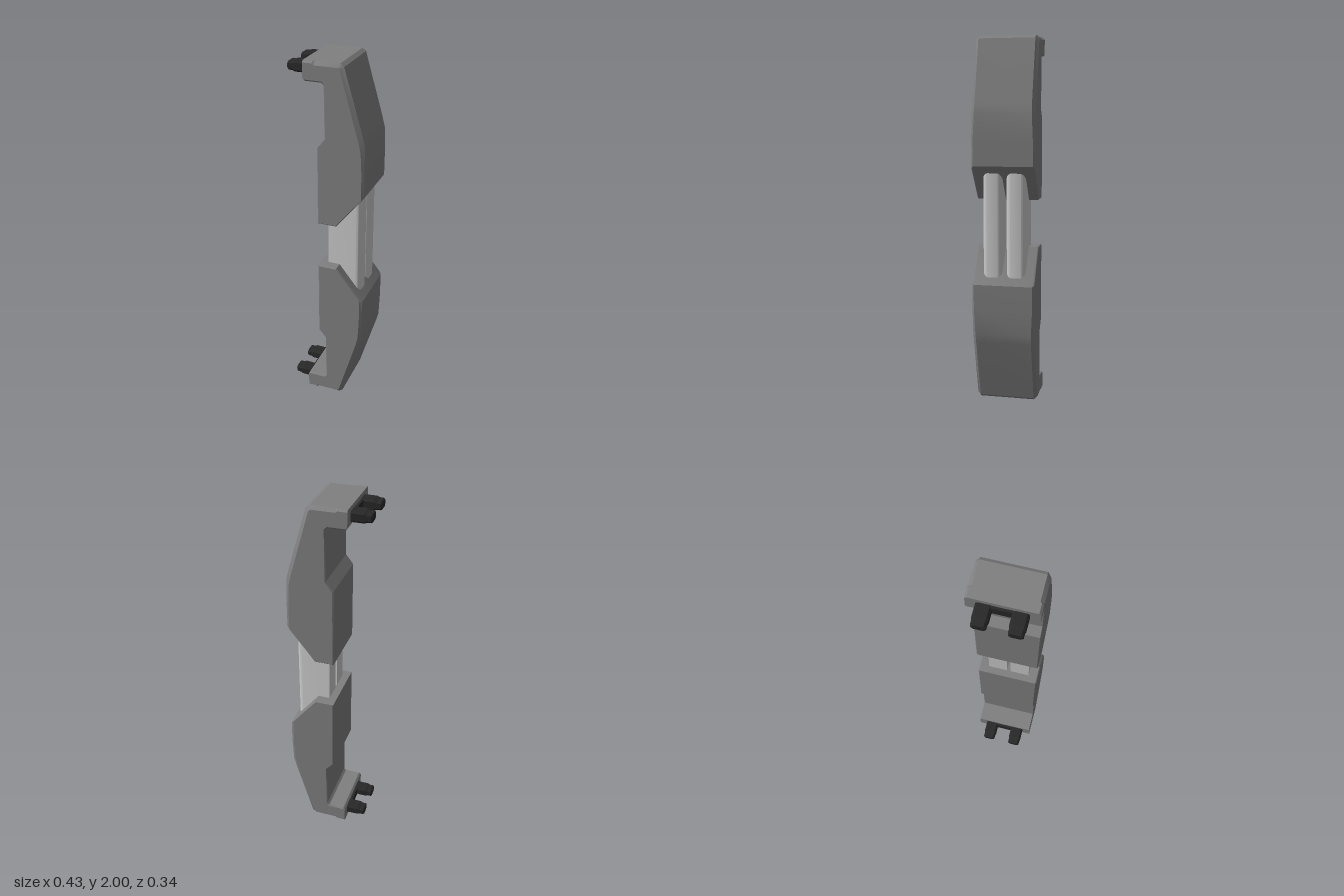
import * as THREE from 'three';
import { toCreasedNormals } from 'three/addons/utils/BufferGeometryUtils.js';

// Skin a stack of counter-clockwise rings ordered from high z to low z, with capped ends
function loft(rings, crease = 0.5) {
  const pos = [];
  const tri = (...p) => p.forEach((v) => pos.push(v.x, v.y, v.z));
  const n = rings[0].length;
  for (let r = 0; r < rings.length - 1; r++) {
    const hi = rings[r], lo = rings[r + 1];
    for (let i = 0; i < n; i++) {
      const j = (i + 1) % n;
      tri(lo[i], lo[j], hi[j]);
      tri(lo[i], hi[j], hi[i]);
    }
  }
  const first = rings[0], last = rings[rings.length - 1];
  const contour = first.map((p) => new THREE.Vector2(p.x, p.y));
  for (const [a, b, c] of THREE.ShapeUtils.triangulateShape(contour, [])) {
    tri(first[a], first[b], first[c]);
    tri(last[c], last[b], last[a]);
  }
  const g = new THREE.BufferGeometry();
  g.setAttribute('position', new THREE.Float32BufferAttribute(pos, 3));
  return toCreasedNormals(g, crease);
}

// Arm outline: edge x, edge y, half depth of that edge, then the inset x, y on the side face
const ARM = [
  [-0.11, 2, 0.16, -0.11, 1.99], [-0.06, 2, 0.16, -0.06, 1.99],
  [-0.05, 2, 0.152, -0.05, 1.982], [0.08, 2, 0.152, 0.072, 1.982],
  [0.1, 1.985, 0.152, 0.083, 1.972], [0.2, 1.645, 0.152, 0.185, 1.615],
  [0.212, 1.595, 0.153, 0.196, 1.565], [0.215, 1.45, 0.16, 0.202, 1.45],
  [0.215, 1.32, 0.16, 0.202, 1.308], [0.065, 1.13, 0.165, 0.063, 1.135],
  [-0.04, 1.13, 0.165, -0.035, 1.135], [-0.04, 1.565, 0.165, -0.035, 1.563],
  [0, 1.615, 0.165, 0.006, 1.612], [0, 1.888, 0.165, 0.006, 1.892],
  [-0.012, 1.9, 0.165, -0.009, 1.907], [-0.1, 1.9, 0.165, -0.1, 1.907],
  [-0.11, 1.91, 0.165, -0.11, 1.914],
];

function armGeometry(top) {
  const rows = top ? [...ARM].reverse() : ARM;
  const y = (v) => (top ? v : 2 - v);
  const inset = (s) => rows.map((r) => new THREE.Vector3(r[3], y(r[4]), s * 0.17));
  const edge = (s) => rows.map((r) => new THREE.Vector3(r[0], y(r[1]), s * r[2]));
  return loft([inset(1), edge(1), edge(-1), inset(-1)]);
}

// Pin pointing to -x, with chamfered corners and a stepped, narrower tip
function pinGeometry() {
  const ring = (d, w, h) => {
    const c = 0.01;
    return [[w, -h + c], [w, h - c], [w - c, h], [-w + c, h],
      [-w, h - c], [-w, -h + c], [-w + c, -h], [w - c, -h]]
      .map(([x, y]) => new THREE.Vector3(x, y, d));
  };
  return loft([
    ring(0.215, 0.031, 0.019), ring(0.209, 0.035, 0.023), ring(0.19, 0.035, 0.023),
    ring(0.175, 0.038, 0.028), ring(0.1, 0.038, 0.028),
  ], 0.3).rotateY(-Math.PI / 2);
}

// Upright bar: square corners at the back, rounded corners on the outer side
function barGeometry() {
  const s = new THREE.Shape();
  const h = 0.0525, r = 0.03, x1 = 0.185;
  s.moveTo(0, -h);
  s.lineTo(x1 - r, -h);
  s.absarc(x1 - r, -h + r, r, -Math.PI / 2, 0);
  s.absarc(x1 - r, h - r, r, 0, Math.PI / 2);
  s.lineTo(0, h);
  const g = new THREE.ExtrudeGeometry(s, { depth: 0.58, bevelEnabled: false, curveSegments: 8 });
  g.rotateX(-Math.PI / 2).translate(0, 0.71, 0);
  return toCreasedNormals(g, 0.5);
}

export function createModel() {
  const model = new THREE.Group();
  model.name = 'clampHandle';
  const armMat = new THREE.MeshStandardMaterial({ color: 0x808080 });
  const pinMat = new THREE.MeshStandardMaterial({ color: 0x282828 });
  const barMat = new THREE.MeshStandardMaterial({ color: 0xcccccc });
  const add = (name, geometry, material, x = 0, y = 0, z = 0) => {
    const m = new THREE.Mesh(geometry, material);
    m.name = name;
    m.position.set(x, y, z);
    model.add(m);
  };

  // Two mirrored arms, each with a pair of pins on a common strip
  for (const top of [true, false]) {
    const prefix = top ? 'upper' : 'lower';
    const y = top ? 1.95 : 0.05;
    add(prefix + 'Arm', armGeometry(top), armMat);
    add(prefix + 'PinStrip', new THREE.BoxGeometry(0.024, 0.05, 0.23), pinMat, -0.111, y, 0);
    for (const s of [1, -1]) add(prefix + 'Pin', pinGeometry(), pinMat, 0, y, s * 0.083);
  }

  // Pair of bars joining the arms
  for (const s of [1, -1]) add('connectingBar', barGeometry(), barMat, 0, 0, s * 0.0635);
  return model;
}
